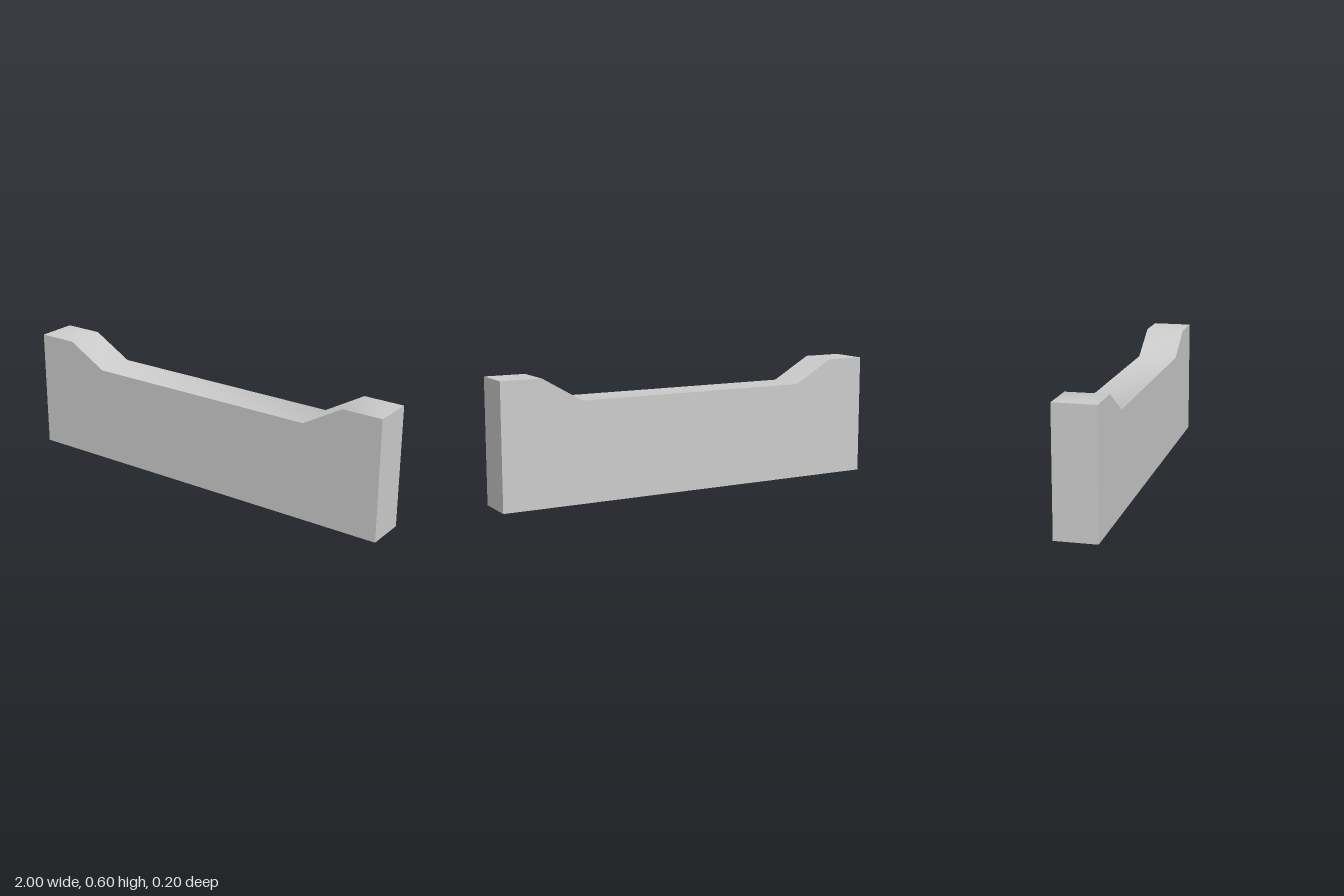
import * as THREE from 'three';
import { toCreasedNormals } from 'three/addons/utils/BufferGeometryUtils.js';

export function createModel() {
  const group = new THREE.Group();
  const material = new THREE.MeshStandardMaterial({ color: 0xcccccc });
  const depth = 0.2;

  // Half of the top edge: raised end, 30 degree ramp, lower middle
  const half = [[1, 0], [1, 0.6], [0.8, 0.6], [0.6, 0.485]];
  const mirrored = half.map(([x, y]) => [-x, y]).reverse();
  const outline = [...half, ...mirrored].map(([x, y]) => new THREE.Vector2(x, y));

  // Wall extruded along z, with the gentle top bends shaded smoothly
  const wall = new THREE.ExtrudeGeometry(new THREE.Shape(outline), { depth, bevelEnabled: false });
  wall.translate(0, 0, -depth / 2);
  const mesh = new THREE.Mesh(toCreasedNormals(wall, 0.7), material);
  mesh.name = 'wallWithRaisedEnds';
  group.add(mesh);

  return group;
}
